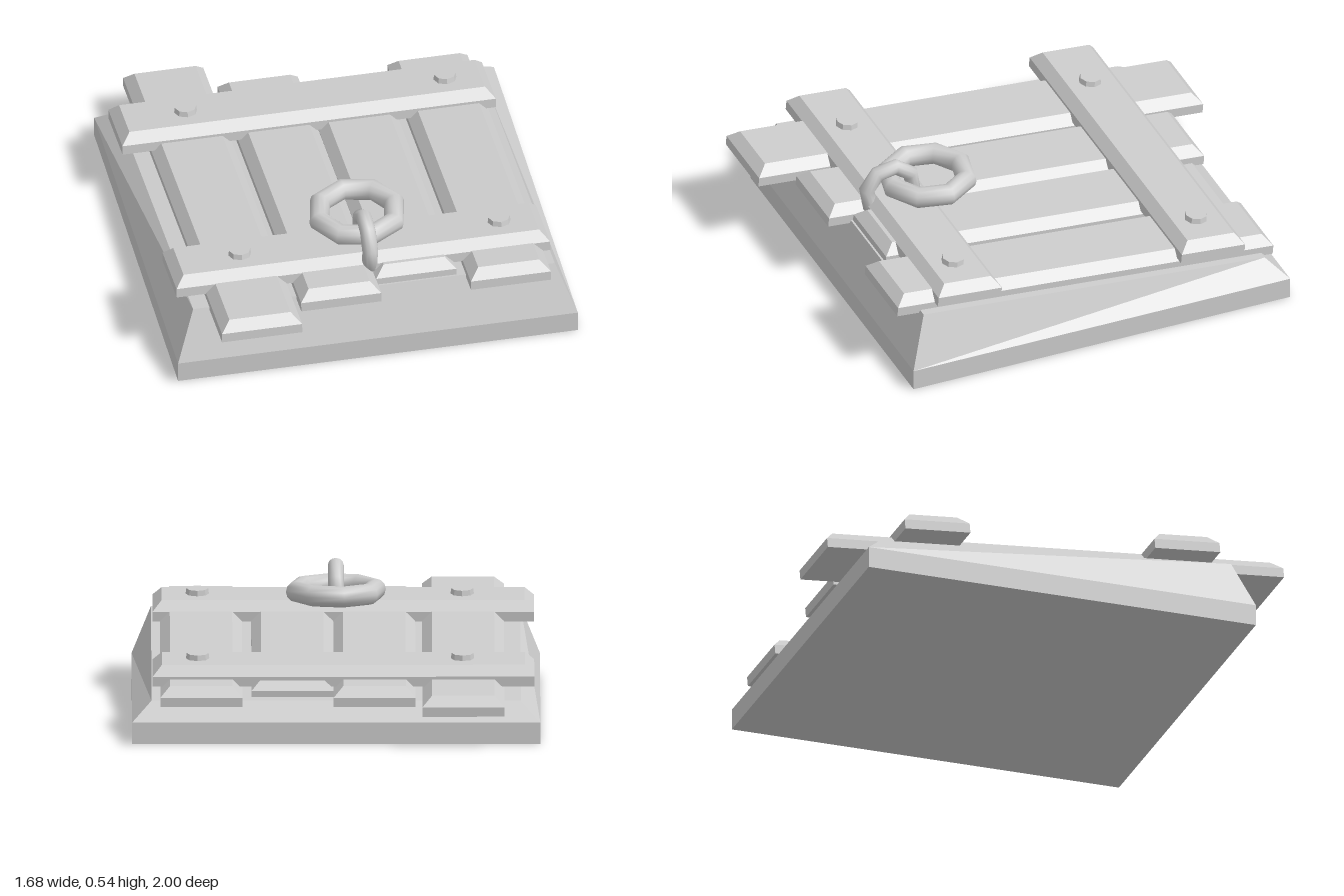
import * as THREE from 'three';

const material = new THREE.MeshStandardMaterial({ color: 0xcccccc, flatShading: true });
const smooth = new THREE.MeshStandardMaterial({ color: 0xcccccc });

function add(parent, name, geometry, x, y, z, mat = material) {
  const mesh = new THREE.Mesh(geometry, mat);
  mesh.name = name;
  mesh.position.set(x, y, z);
  parent.add(mesh);
  return mesh;
}

// Slab standing on y = 0: straight lower half, upper half sloping in by `inset`
function bevelledSlab(w, h, d, inset) {
  const g = new THREE.BoxGeometry(w, h, d, 1, 2, 1);
  const p = g.attributes.position;
  for (let i = 0; i < p.count; i++) {
    if (p.getY(i) > h / 4) {
      p.setX(i, p.getX(i) - Math.sign(p.getX(i)) * inset);
      p.setZ(i, p.getZ(i) - Math.sign(p.getZ(i)) * inset);
    }
  }
  g.translate(0, h / 2, 0);
  g.computeVertexNormals();
  return g;
}

export function createModel() {
  const model = new THREE.Group();
  model.name = 'trapdoor';

  // Base block: low plinth with sloping sides and a tilted top
  const base = bevelledSlab(1.68, 0.18, 1.69, 0.08);
  const p = base.attributes.position;
  for (let i = 0; i < p.count; i++) {
    if (p.getY(i) > 0.1) p.setY(i, p.getZ(i) > 0 ? 0.3 : 0.168);
  }
  base.computeVertexNormals();
  add(model, 'base', base, 0, 0, -0.025);

  // Door, tilted up towards the front
  const door = new THREE.Group();
  door.name = 'door';
  door.position.y = 0.223;
  door.rotation.x = -0.087;
  model.add(door);

  // Planks: centre x, length
  [[-0.523, 2.0], [-0.158, 1.69], [0.18, 1.47], [0.555, 1.69]].forEach(([x, length]) =>
    add(door, 'plank', bevelledSlab(0.337, 0.08, length, 0.04), x, 0, 0));

  // Cross bars with a bolt near each end: centre z, height above plank underside
  [[-0.557, 0.05], [0.537, 0.037]].forEach(([z, y]) => {
    add(door, 'crossBar', bevelledSlab(1.57, 0.082, 0.285, 0.038), -0.03, y, z);
    for (const x of [-0.52, 0.57]) {
      add(door, 'bolt', new THREE.CylinderGeometry(0.045, 0.05, 0.035, 8), x, y + 0.087, z + 0.003);
    }
  });

  // Octagonal handle ring lying flat, held by a smaller upright ring
  const ring = add(model, 'handleRing', new THREE.TorusGeometry(0.165, 0.044, 12, 8), 0, 0.424, 0.395, smooth);
  ring.rotation.set(-Math.PI / 2, 0, THREE.MathUtils.degToRad(10));
  const staple = add(model, 'ringHolder', new THREE.TorusGeometry(0.107, 0.033, 12, 8), 0, 0.4, 0.56, smooth);
  staple.rotation.set(0, Math.PI / 2, THREE.MathUtils.degToRad(-13));

  return model;
}
